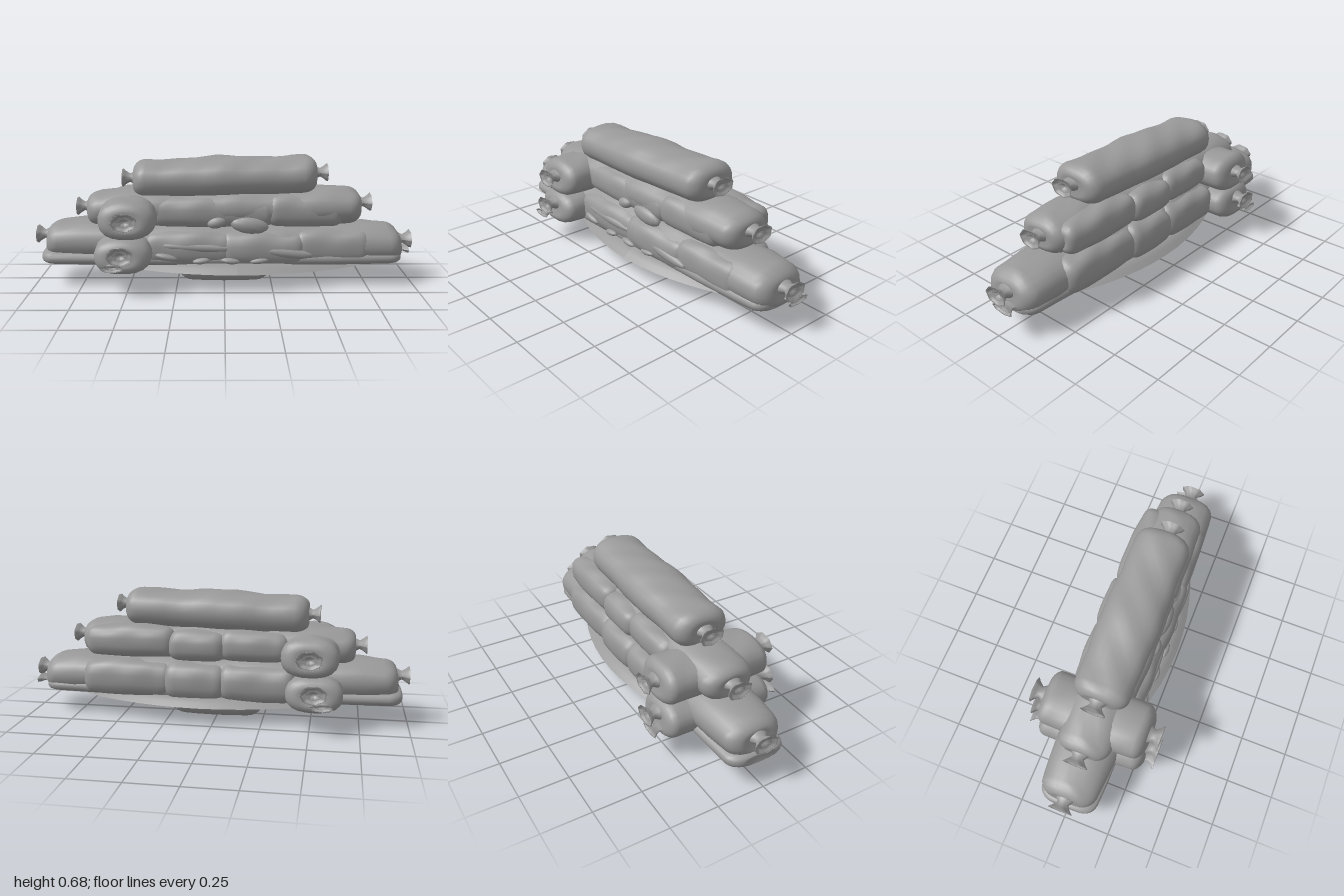
import * as THREE from 'three';
import { mergeVertices } from 'three/addons/utils/BufferGeometryUtils.js';

const stone = new THREE.MeshStandardMaterial({ color: 0x999999 });
stone.name = 'grey';
const sheet = stone.clone();
sheet.name = 'grey sheet';
sheet.side = THREE.DoubleSide;

// Stuffed sack lying along x: rounded ends, boxy section, slight lumps.
function sackGeometry(len, ry, rz, { round = 0.07, taper = 0.08, lump = 0.008, tilt = 0, seed = 0, boxy = 2.3, sag = 0 } = {}) {
  const h = len / 2, pts = [];
  for (let i = 0; i <= 5; i++) {
    const a = (i / 5) * Math.PI / 2;
    pts.push([0.5 + 0.5 * Math.sin(a), -h + round * (1 - Math.cos(a))]);
  }
  const body = 16, side = pts.slice();
  for (let i = 1; i < body; i++) pts.push([1, -h + round + (len - 2 * round) * i / body]);
  side.reverse().forEach(([r, y]) => pts.push([r, -y]));
  pts.unshift([0, -h + 0.012]);
  pts.push([0, h - 0.012]);
  const geo = new THREE.LatheGeometry(pts.map(([r, y]) => new THREE.Vector2(r, y)), 24);
  geo.rotateZ(-Math.PI / 2);
  const p = geo.attributes.position;
  for (let i = 0; i < p.count; i++) {
    const x = p.getX(i), y = p.getY(i), z = p.getZ(i), t = x / h;
    const r = Math.hypot(y, z) || 1;
    // superellipse section, narrowing a little toward the ends
    const n = Math.pow(Math.pow(Math.abs(y / r), boxy) + Math.pow(Math.abs(z / r), boxy), -1 / boxy);
    const k = n * (1 - taper * t * t);
    const wave = lump * (Math.sin(x * 13 + seed) + 0.5 * Math.sin(x * 29 + z * 5 + seed * 2));
    // sag makes the lower part of the ends bulge outward
    p.setXYZ(i, x - sag * y * t ** 3, y * ry * k + wave * (y > 0 ? y : 0) + tilt * t, z * rz * k + wave * z * 0.6);
  }
  geo.deleteAttribute('uv');
  geo.deleteAttribute('normal');
  const merged = mergeVertices(geo, 1e-4);
  merged.computeVertexNormals();
  return merged;
}

// Tied sack mouth along +x: a narrow neck flaring to a wide ruffled rim with an inner fold.
function tieGeometry(height = 1, width = 1.4) {
  const prof = [[0.038, -0.03], [0.032, 0], [0.022, 0.02], [0.034, 0.042], [0.047, 0.058],
    [0.04, 0.056], [0.03, 0.04], [0.024, 0.05], [0.012, 0.034], [0, 0.032]];
  const geo = new THREE.LatheGeometry(prof.map(([r, y]) => new THREE.Vector2(r, y)), 28);
  const p = geo.attributes.position;
  for (let i = 0; i < p.count; i++) {
    const x = p.getX(i), y = p.getY(i), z = p.getZ(i), a = Math.atan2(z, x);
    const k = y > 0.03 ? 1 + 0.05 * Math.cos(7 * a + 1) : 1;
    p.setXYZ(i, x * k * height, y, z * k * width);
  }
  geo.rotateZ(-Math.PI / 2);
  geo.computeVertexNormals();
  return geo;
}

function add(parent, name, geo, x = 0, y = 0, z = 0, material = stone) {
  const m = new THREE.Mesh(geo, material);
  m.name = name;
  m.position.set(x, y, z);
  parent.add(m);
  return m;
}

// Sack with a tie on each end; minus and plus are tie offsets [y, z].
function tiedSack(name, len, ry, rz, opts = {}) {
  const g = new THREE.Group();
  g.name = name;
  add(g, name + 'Body', sackGeometry(len, ry, rz, opts));
  const { minus = [0, 0], plus = [0, 0], tieHeight = 1 } = opts;
  add(g, name + 'TiePlus', tieGeometry(tieHeight), len / 2, plus[0], plus[1]);
  add(g, name + 'TieMinus', tieGeometry(tieHeight), -len / 2, minus[0], minus[1]).rotation.y = Math.PI;
  return g;
}

export function createModel() {
  const model = new THREE.Group();
  model.name = 'sackBarricade';
  const place = (g, x, y, z) => { g.position.set(x, y, z); model.add(g); };

  // Long sacks, stacked in three tiers
  place(tiedSack('topSack', 0.96, 0.102, 0.155,
    { tilt: 0.012, lump: 0.006, seed: 2, minus: [-0.008, 0], plus: [0.022, 0.012] }), 0.003, 0.564, 0.002);
  place(tiedSack('middleSack', 1.44, 0.1, 0.152,
    { tilt: 0.006, taper: 0.07, seed: 1, plus: [0.018, -0.008] }), 0, 0.403, 0);
  place(tiedSack('bottomSack', 1.88, 0.11, 0.172,
    { tilt: -0.016, taper: 0.12, seed: 4, sag: 0.012, minus: [0.03, 0], plus: [0, 0] }), 0, 0.22, -0.003);
  add(model, 'baseSack', sackGeometry(1.9, 0.045, 0.176,
    { taper: 0.14, lump: 0.003, boxy: 3 }), -0.014, 0.149, 0);
  add(model, 'baseSackTie', tieGeometry(0.45), 0.935, 0.16, -0.035);

  // Short sacks lying across the pile
  for (const [name, x, y, ry, len, tie] of [
    ['upperCrossSack', -0.495, 0.378, 0.099, 0.58, 0.012], ['lowerCrossSack', -0.52, 0.193, 0.091, 0.59, 0.026]]) {
    const g = tiedSack(name, len, ry, 0.148,
      { round: 0.05, taper: 0.04, lump: 0.004, boxy: 2.5, sag: 0.014, minus: [tie, 0], plus: [tie, 0] });
    g.rotation.y = -Math.PI / 2;
    place(g, x, y, 0);
    if (name === 'lowerCrossSack') for (const s of [-1, 1]) {
      add(g, 'flatTie', tieGeometry(0.4, 1.2), s * 0.293, -0.035, 0.04).rotation.y = s > 0 ? 0 : Math.PI;
    }
  }

  // Sack below the pile
  place(tiedSack('underSack', 0.48, 0.1, 0.156,
    { lump: 0.003, tieHeight: 0.8, minus: [-0.01, 0], plus: [-0.01, 0] }), 0, 0.1, -0.004);

  // Shorter sacks filling both flanks: x start, x end, y, z, half height, half depth
  const flank = [
    [-0.38, -0.03, 0.4, -0.105, 0.08, 0.085], [-0.06, 0.24, 0.395, -0.112, 0.08, 0.088],
    [0.21, 0.68, 0.41, -0.105, 0.085, 0.09], [-0.38, 0.26, 0.39, 0.075, 0.08, 0.082],
    [0.22, 0.62, 0.395, 0.07, 0.085, 0.083],
    [-0.42, -0.03, 0.205, -0.12, 0.098, 0.09], [-0.06, 0.26, 0.205, -0.122, 0.098, 0.09],
    [0.22, 0.7, 0.21, -0.115, 0.095, 0.085], [-0.42, 0.05, 0.205, 0.105, 0.092, 0.082],
    [-0.02, 0.42, 0.2, 0.105, 0.09, 0.085], [0.36, 0.76, 0.205, 0.09, 0.092, 0.08],
  ];
  flank.forEach(([x0, x1, y, z, ry, rz], i) =>
    add(model, 'flankSack', sackGeometry(x1 - x0, ry, rz, { round: 0.05, lump: 0.006, seed: i, boxy: 2.7 }), (x0 + x1) / 2, y, z));

  // Thin sloping skirt around the base, drawn in toward its two tips
  const skirt = new THREE.LatheGeometry(
    [[1, 0.091], [0.9, 0.112], [0.8, 0.13], [0.6, 0.14]].map(([r, y]) => new THREE.Vector2(r, y)), 40);
  const sp = skirt.attributes.position;
  for (let i = 0; i < sp.count; i++) {
    const x = sp.getX(i), z = sp.getZ(i), r = Math.hypot(x, z);
    sp.setXYZ(i, x * 0.7, sp.getY(i), z * 0.245 * (1 - 0.3 * (x / r) ** 2));
  }
  skirt.computeVertexNormals();
  add(model, 'skirt', skirt, 0.065, 0, 0, sheet);

  // Loose folds and spilled lumps: x, y, z, half sizes, tilt
  const folds = [
    [0.13, 0.33, 0.14, 0.1, 0.045, 0.035, -0.12], [-0.04, 0.345, 0.145, 0.05, 0.03, 0.03, 0.2],
    [-0.15, 0.22, 0.17, 0.2, 0.025, 0.025, -0.05], [0.32, 0.19, 0.17, 0.14, 0.028, 0.025, -0.12],
    [-0.3, 0.17, 0.18, 0.06, 0.018, 0.022, -0.2], [-0.12, 0.15, 0.185, 0.045, 0.016, 0.02, 0.1],
    [0.03, 0.15, 0.185, 0.05, 0.016, 0.02, -0.1], [0.18, 0.15, 0.18, 0.05, 0.016, 0.02, 0.1],
  ];
  for (const [x, y, z, a, b, c, tilt] of folds) {
    const geo = new THREE.SphereGeometry(1, 14, 8);
    geo.scale(a, b, c);
    add(model, 'looseFold', geo, x, y, z).rotation.z = tilt;
  }
  return model;
}
